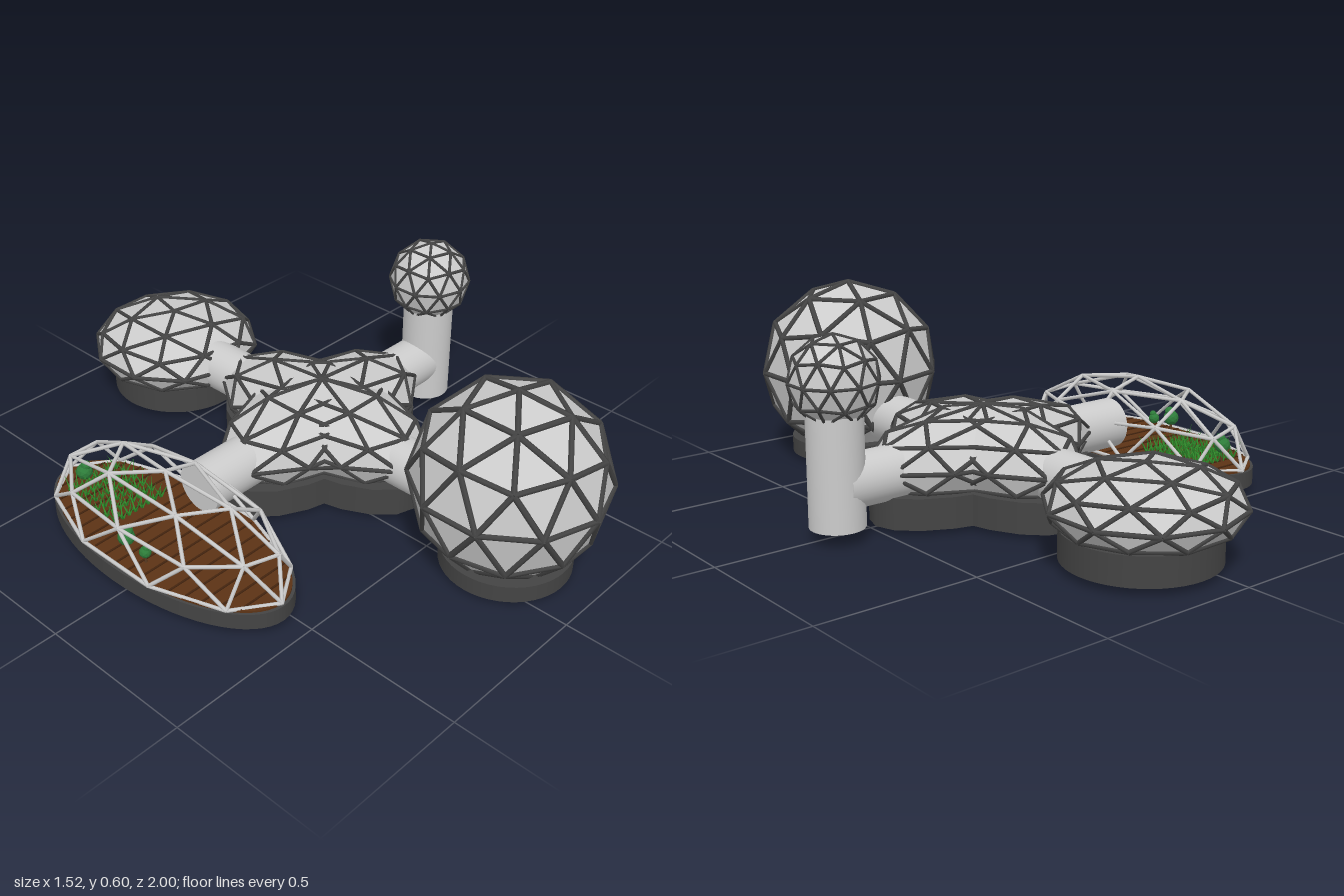
import * as THREE from 'three';
import { mergeGeometries } from 'three/addons/utils/BufferGeometryUtils.js';

const mat = (color, flat = false) => new THREE.MeshStandardMaterial({ color, flatShading: flat });
const UP = new THREE.Vector3(0, 1, 0);

function add(parent, name, geometry, material, x = 0, y = 0, z = 0) {
  const mesh = new THREE.Mesh(geometry, material);
  mesh.name = name;
  mesh.position.set(x, y, z);
  parent.add(mesh);
  return mesh;
}

// Two-frequency icosphere with a vertex at each pole, stretched to an ellipsoid
function geodesic(rx, ry, rz, turn = 0) {
  const g = new THREE.IcosahedronGeometry(1, 1);
  g.rotateX(-Math.atan((1 + Math.sqrt(5)) / 2));
  g.rotateY(Math.PI / 2 + turn);
  g.scale(rx, ry, rz);
  g.computeVertexNormals();
  return g;
}

// Round bar between two points
function bar(a, b, r, sides = 6) {
  const d = b.clone().sub(a);
  const g = new THREE.CylinderGeometry(r, r, d.length(), sides);
  g.applyQuaternion(new THREE.Quaternion().setFromUnitVectors(UP, d.normalize()));
  const m = a.clone().add(b).multiplyScalar(0.5);
  return g.translate(m.x, m.y, m.z);
}

// One bar for each edge of a geodesic shell, optionally the upper half only
function lattice(shell, r, upperOnly = false) {
  const p = shell.attributes.position, seen = new Set(), bars = [];
  for (let f = 0; f < p.count; f += 3) {
    for (let k = 0; k < 3; k++) {
      const a = new THREE.Vector3().fromBufferAttribute(p, f + k);
      const b = new THREE.Vector3().fromBufferAttribute(p, f + (k + 1) % 3);
      if (upperOnly && Math.min(a.y, b.y) < -0.001) continue;
      const key = a.clone().add(b).toArray().map(v => Math.round(v * 2000) + 0).join();
      if (seen.has(key)) continue;
      seen.add(key);
      bars.push(bar(a, b, r));
    }
  }
  return mergeGeometries(bars);
}

// Elliptical slab from y0 to y1
function slab(rx, rz, y0, y1, sides = 48) {
  return new THREE.CylinderGeometry(1, 1, y1 - y0, sides).scale(rx, 1, rz).translate(0, (y0 + y1) / 2, 0);
}

export function createModel() {
  const model = new THREE.Group();
  model.name = 'domeHabitat';
  const grey = mat(0xcccccc), panel = mat(0xcccccc, true);
  const dark = mat(0x444444), soil = mat(0x5c3315);
  const leaf = mat(0x2e7d3a, true), crop = mat(0x2f8a2a, true), bark = mat(0x5a3a20);
  crop.side = THREE.DoubleSide;
  const cx = 0.105, cz = -0.028;

  // Panelled domes with dark struts
  const domes = [
    ['frontSphere', cx, 0.303, 0.7, 0.292, 0.292, 0.292, 0.009, 0],
    ['backDome', cx - 0.005, 0.18, -0.715, 0.278, 0.112, 0.278, 0.007, 0],
    ['towerSphere', 0.627, 0.467, -0.03, 0.13, 0.13, 0.13, 0.005, 0],
    ['hallAcross', cx, 0.18, cz, 0.405, 0.135, 0.21, 0.007, 0],
    ['hallLengthwise', cx, 0.18, cz, 0.21, 0.135, 0.405, 0.007, Math.PI / 2],
  ];
  for (const [name, x, y, z, rx, ry, rz, r, turn] of domes) {
    const group = new THREE.Group();
    group.name = name;
    group.position.set(x, y, z);
    const shell = geodesic(rx, ry, rz, turn);
    add(group, name + 'Panels', shell, panel);
    add(group, name + 'Struts', lattice(shell, r), dark);
    model.add(group);
  }

  // Foundations
  add(model, 'frontSphereBase', slab(0.198, 0.198, 0.016, 0.07), dark, cx, 0, 0.71);
  add(model, 'backDomeBase', slab(0.225, 0.225, 0.025, 0.112), dark, cx, 0, -0.71);
  add(model, 'hallBaseAcross', slab(0.395, 0.2, 0.015, 0.11, 20), dark, cx, 0, cz);
  add(model, 'hallBaseLengthwise', slab(0.2, 0.395, 0.015, 0.11, 20), dark, cx, 0, cz);

  // Corridors and tower
  const V = (x, z) => new THREE.Vector3(x, 0.17, z);
  add(model, 'crossCorridor', bar(V(-0.42, -0.035), V(0.627, -0.035), 0.08, 32), grey);
  add(model, 'longCorridor', bar(V(cx - 0.005, -0.52), V(cx - 0.005, 0.5), 0.08, 32), grey);
  add(model, 'tower', slab(0.082, 0.082, 0.045, 0.39, 32), grey, 0.629, 0, -0.03);

  // Greenhouse: base, soil and open lattice
  const house = new THREE.Group();
  house.name = 'greenhouse';
  house.position.set(-0.548, 0, -0.03);
  model.add(house);
  add(house, 'greenhouseBase', slab(0.218, 0.47, 0.03, 0.082, 64), dark);
  add(house, 'soil', slab(0.21, 0.46, 0.08, 0.088, 64), soil);
  add(house, 'greenhouseLattice', lattice(geodesic(0.217, 0.215, 0.463), 0.006, true), grey, 0, 0.088, 0);

  // Furrows across the soil
  const furrows = [];
  for (let z = -0.4; z < 0.41; z += 0.05) {
    const w = 2 * 0.2 * Math.sqrt(1 - (z / 0.46) ** 2);
    furrows.push(new THREE.BoxGeometry(w, 0.004, 0.006).translate(0, 0.089, z));
  }
  add(house, 'furrows', mergeGeometries(furrows), mat(0x43240e));

  // Crop rows: each plant is a fan of thin leaves
  const blades = [];
  for (let row = 0; row < 6; row++) {
    for (let i = 0; i < 8; i++) {
      for (let k = 0; k < 4; k++) {
        const h = 0.035 + 0.012 * ((row * 3 + i * 5 + k) % 4);
        const blade = new THREE.ConeGeometry(0.004, h, 3).translate(0, h / 2, 0);
        blade.rotateZ(0.45).rotateY(k * Math.PI / 2 + i);
        blades.push(blade.translate(-0.085 + i * 0.025, 0.086, -0.35 + row * 0.042));
      }
    }
  }
  add(house, 'crops', mergeGeometries(blades), crop);

  // Small trees
  for (const [x, z, s] of [[-0.147, -0.015, 1], [-0.03, -0.35, 1], [-0.142, 0.06, 0.7]]) {
    const tree = new THREE.Group();
    tree.name = 'tree';
    tree.position.set(x, 0.086, z);
    tree.scale.setScalar(s);
    add(tree, 'trunk', new THREE.CylinderGeometry(0.004, 0.006, 0.05, 8), bark, 0, 0.025, 0);
    add(tree, 'crown', new THREE.IcosahedronGeometry(0.026, 1), leaf, 0, 0.055, 0);
    add(tree, 'crownTop', new THREE.IcosahedronGeometry(0.016, 1), leaf, 0.004, 0.077, 0.004);
    house.add(tree);
  }
  return model;
}
